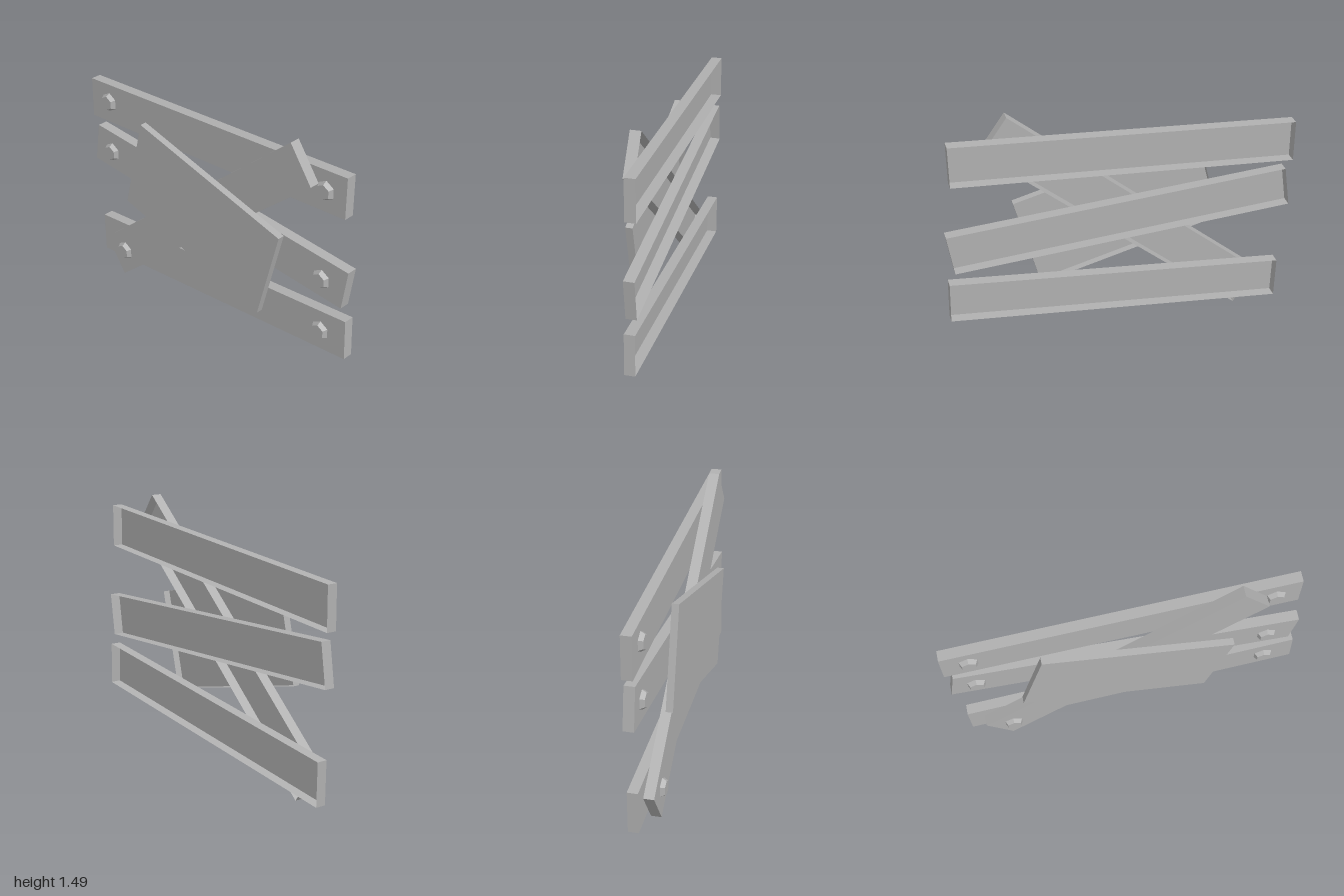
import * as THREE from 'three';

const grey = new THREE.MeshStandardMaterial({ color: 0xb0b0b0, side: THREE.DoubleSide });
grey.name = 'grey';

// Shallow board with an open back; corners run counter-clockwise seen from the front.
function board(name, corners, back, front) {
  const pos = [];
  const quad = (a, b, c, d) => pos.push(...a, ...b, ...c, ...a, ...c, ...d);
  const f = corners.map(([x, y]) => [x, y, front]);
  const b = corners.map(([x, y]) => [x, y, back]);
  quad(...f);
  for (let i = 0; i < 4; i++) {
    const j = (i + 1) % 4;
    quad(b[i], b[j], f[j], f[i]);
  }
  const geo = new THREE.BufferGeometry();
  geo.setAttribute('position', new THREE.Float32BufferAttribute(pos, 3));
  geo.computeVertexNormals();
  const mesh = new THREE.Mesh(geo, grey);
  mesh.name = name;
  return mesh;
}

// Tapered hexagonal bolt head, with a corner pointing up.
function bolt(x, y, z) {
  const height = 0.025;
  const geo = new THREE.CylinderGeometry(0.043, 0.058, height, 6).toNonIndexed();
  geo.rotateX(Math.PI / 2);
  geo.computeVertexNormals();
  const mesh = new THREE.Mesh(geo, grey);
  mesh.position.set(x, y, z + height / 2);
  mesh.name = 'bolt';
  return mesh;
}

export function createModel() {
  const group = new THREE.Group();
  group.name = 'boardedBarricade';

  // Three crooked horizontal planks at the back
  group.add(
    board('topPlank', [[-1, 0.985], [0.945, 1.15], [0.945, 1.395], [-1, 1.23]], -0.08, -0.02),
    board('middlePlank', [[-0.995, 0.69], [0.955, 0.595], [0.99, 0.84], [-0.96, 0.932]], -0.08, -0.02),
    board('bottomPlank', [[-0.945, 0.047], [1, 0.278], [0.992, 0.525], [-0.95, 0.295]], -0.08, -0.02),
  );

  // Diagonal brace, then the sign panel in front of it
  group.add(
    board('diagonalBrace', [[-0.855, 0.205], [-0.71, 0], [0.76, 1.285], [0.615, 1.488]], -0.02, 0.04),
    board('signPanel', [[-0.61, 0.6], [0.45, 0.345], [0.592, 0.91], [-0.472, 1.168]], 0.04, 0.08),
  );

  // Bolts on the planks and one on the brace
  for (const [x, y] of [[-0.85, 1.13], [0.81, 1.265], [-0.842, 0.796], [0.813, 0.715], [0.825, 0.38]]) {
    group.add(bolt(x, y, -0.02));
  }
  group.add(bolt(-0.692, 0.182, 0.04));

  return group;
}
